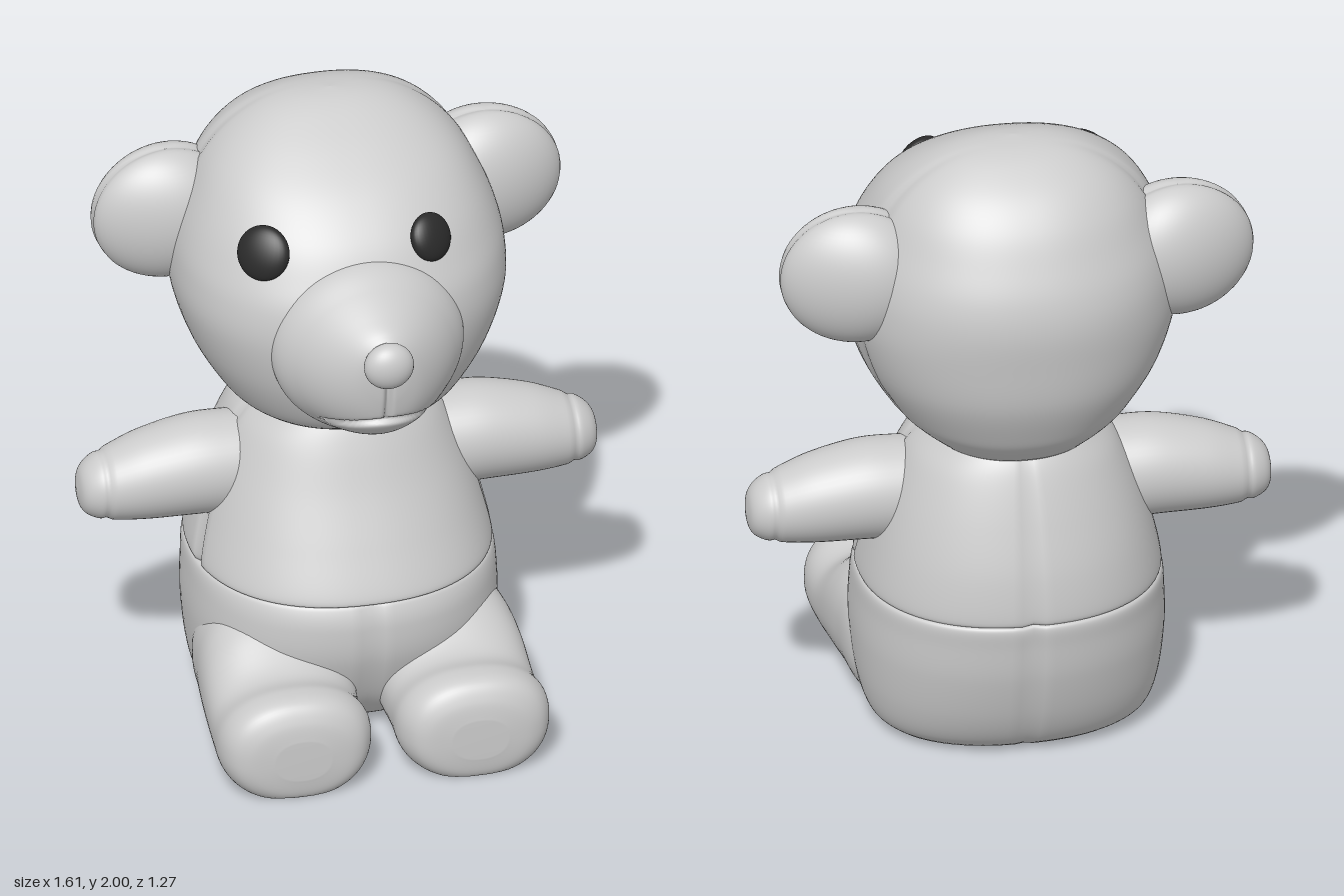
import * as THREE from 'three';

const grey = new THREE.MeshStandardMaterial({ color: 0xcccccc });
const dark = new THREE.MeshStandardMaterial({ color: 0x2a2a2a });

// Narrow stitched-seam profile: 1 on the seam, falling to 0 beside it
const crease = (d, w = 0.014) => Math.exp(-((d / w) ** 2));

// Smooth interpolation through a list of sections
function sample(sections, t) {
  const n = sections.length - 1;
  const i = Math.min(Math.floor(t * n), n - 1), f = t * n - i;
  const at = k => sections[Math.max(0, Math.min(n, k))];
  return sections[0].map((_, c) => {
    const a = at(i - 1)[c], b = at(i)[c], d = at(i + 1)[c], e = at(i + 2)[c];
    return b + 0.5 * f * (d - a + f * (2 * a - 5 * b + 4 * d - e + f * (3 * (b - d) + e - a)));
  });
}

// Closed loft along an axis (0 x, 1 y, 2 z). A section is [t, uMin, uMax, vMin, vMax],
// with u and v the next two axes in cyclic order. dent(p) pulls points to the core.
// Whatever would sink below the floor is flattened on it.
function loft(axis, sections, { power = 2, segs = 72, rows = 56, dent } = {}) {
  const u = (axis + 1) % 3, v = (axis + 2) % 3, pos = [], index = [];
  const soft = c => Math.sign(c) * Math.abs(c) ** (2 / power);
  for (let i = -1; i <= rows + 1; i++) {
    const [t, u0, u1, v0, v1] = sample(sections, Math.max(0, Math.min(1, i / rows)));
    const cap = i < 0 || i > rows;
    const ru = cap ? 0 : Math.max(0, (u1 - u0) / 2), rv = cap ? 0 : Math.max(0, (v1 - v0) / 2);
    for (let j = 0; j < segs; j++) {
      const a = (j / segs) * Math.PI * 2, p = [0, 0, 0];
      p[axis] = t;
      p[u] = (u0 + u1) / 2 + ru * soft(Math.cos(a));
      p[v] = (v0 + v1) / 2 + rv * soft(Math.sin(a));
      if (dent && !cap) {
        const k = dent(p);
        p[u] += ((u0 + u1) / 2 - p[u]) * k;
        p[v] += ((v0 + v1) / 2 - p[v]) * k;
      }
      p[1] = Math.max(0, p[1]);
      pos.push(...p);
    }
  }
  for (let i = 0; i < rows + 2; i++) for (let j = 0; j < segs; j++) {
    const a = i * segs + j, b = i * segs + (j + 1) % segs;
    index.push(a, b, b + segs, a, b + segs, a + segs);
  }
  const geo = new THREE.BufferGeometry();
  geo.setAttribute('position', new THREE.Float32BufferAttribute(pos, 3));
  geo.setIndex(index);
  geo.computeVertexNormals();
  return geo;
}

// Mirror a geometry to the other side and keep its faces outward
function mirror(geo) {
  const g = geo.clone().scale(-1, 1, 1), ix = g.index.array;
  for (let i = 0; i < ix.length; i += 3) [ix[i], ix[i + 1]] = [ix[i + 1], ix[i]];
  g.computeVertexNormals();
  return g;
}

export function createModel() {
  const group = new THREE.Group();
  const add = (name, geo, mat = grey) => {
    const m = new THREE.Mesh(geo, mat);
    m.name = name;
    group.add(m);
    return m;
  };
  const pair = (name, geo) => {
    add('left' + name, geo);
    add('right' + name, mirror(geo));
  };
  const ball = (name, p, r, mat) => {
    const m = add(name, new THREE.SphereGeometry(1, 32, 24), mat);
    m.position.set(...p);
    m.scale.set(...r);
    return m;
  };
  // Section of an upright part: height, back, front, half width
  const up = ([y, back, front, w]) => [y, back, front, -w, w];

  // Head with a seam running over it from ear to ear
  add('head', loft(1, [
    [1.0, -0.44, 0.13, 0.25], [1.06, -0.5, 0.24, 0.325], [1.12, -0.54, 0.3, 0.38],
    [1.25, -0.597, 0.355, 0.455], [1.4, -0.622, 0.38, 0.503], [1.52, -0.632, 0.37, 0.505],
    [1.62, -0.617, 0.325, 0.485], [1.72, -0.577, 0.262, 0.445], [1.82, -0.525, 0.16, 0.39],
    [1.9, -0.455, 0.04, 0.315], [1.96, -0.365, -0.075, 0.22], [1.99, -0.29, -0.15, 0.12],
    [2.0, -0.21, -0.21, 0],
  ].map(up), { power: 2.2, segs: 112, rows: 72, dent: p => 0.025 * crease(p[2] + 0.26, 0.018) }));

  // Upper body: side seams and a seam down the back
  add('upperBody', loft(1, [
    [0.5, -0.55, 0.33, 0.44], [0.512, -0.575, 0.35, 0.462], [0.65, -0.56, 0.29, 0.432],
    [0.8, -0.52, 0.22, 0.385], [0.93, -0.475, 0.165, 0.325], [1.0, -0.44, 0.13, 0.265],
    [1.04, -0.4, 0.1, 0.22],
  ].map(up), {
    power: 2.25, segs: 112,
    dent: p => 0.03 * Math.max(crease(p[2] + 0.02 + 0.2 * (p[1] - 0.5)), p[2] < 0 ? crease(p[0]) : 0),
  }));

  // Seat: seam down the front and back
  add('lowerBody', loft(1, [
    [0, -0.39, 0.15, 0.38], [0.05, -0.455, 0.22, 0.43], [0.15, -0.51, 0.3, 0.46],
    [0.3, -0.555, 0.36, 0.475], [0.42, -0.572, 0.37, 0.472], [0.488, -0.577, 0.352, 0.464],
    [0.5, -0.55, 0.33, 0.44],
  ].map(up), { power: 2.25, segs: 112, dent: p => 0.03 * crease(p[0]) }));

  // Thighs swelling out of the seat, then legs ending in blunt round-topped feet
  pair('Leg', loft(2, [
    [-0.2, 0.15, 0.38, 0.06, 0.25], [-0.05, 0.05, 0.465, -0.02, 0.4], [0.1, 0.03, 0.488, -0.03, 0.43],
    [0.22, 0.03, 0.5, -0.03, 0.395], [0.37, 0.045, 0.505, -0.03, 0.305], [0.49, 0.04, 0.512, -0.03, 0.32],
    [0.56, 0.065, 0.49, -0.02, 0.31], [0.595, 0.11, 0.44, 0.01, 0.26], [0.608, 0.19, 0.36, 0.07, 0.2],
  ], { power: 2.25 }));

  // Arms reaching out sideways, with a seam round the paw
  const arm = ([x, y, r]) => [x, y - r, y + r, -0.128 - r, -0.128 + r];
  pair('Arm', loft(0, [
    [0.2, 0.785, 0.145], [0.34, 0.783, 0.156], [0.46, 0.783, 0.154], [0.6, 0.768, 0.138],
    [0.7, 0.752, 0.115], [0.76, 0.745, 0.094], [0.795, 0.74, 0.06], [0.807, 0.74, 0],
  ].map(arm), { segs: 48, dent: p => 0.06 * crease(p[0] - 0.725, 0.01) }));

  // Ears: balls flattened towards the tip and pinched along the rim seam
  const ear = new THREE.SphereGeometry(1, 48, 36);
  const ep = ear.attributes.position, q = new THREE.Vector3();
  for (let i = 0; i < ep.count; i++) {
    q.fromBufferAttribute(ep, i);
    q.multiplyScalar(1 - 0.04 * crease(q.z, 0.1));
    ep.setXYZ(i, q.x, q.y, q.z * (1 - 0.22 * q.x));
  }
  ear.scale(0.235, 0.22, 0.15).rotateY(-0.05).translate(0.495, 1.6, -0.272);
  ear.computeVertexNormals();
  pair('Ear', ear);

  // Muzzle, creased below the nose and along the arched mouth
  const muzzle = loft(2, [
    [0.22, -0.29, 0.285, 1.125, 1.67], [0.31, -0.3, 0.292, 1.11, 1.67], [0.4, -0.25, 0.245, 1.137, 1.63],
    [0.48, -0.187, 0.185, 1.178, 1.588], [0.535, -0.125, 0.125, 1.24, 1.555],
    [0.562, -0.07, 0.07, 1.33, 1.52], [0.572, 0, 0, 1.44, 1.44],
  ], { segs: 112, rows: 96 });
  const mp = muzzle.attributes.position;
  for (let i = 0; i < mp.count; i++) {
    const x = mp.getX(i), y = mp.getY(i), z = mp.getZ(i);
    if (z < 0.36 || y > 1.42) continue;
    const mouth = Math.abs(x) < 0.17 ? crease(y - 1.255 + 1.6 * x * x, 0.012) : 0;
    mp.setZ(i, z - 0.025 * Math.max(mouth, y > 1.25 ? crease(x, 0.01) : 0));
  }
  muzzle.computeVertexNormals();
  add('muzzle', muzzle);
  ball('nose', [-0.005, 1.475, 0.582], [0.077, 0.075, 0.052], grey);

  // Eyes: dark buttons lying on the face
  const eye = (name, p, r, n) => {
    const m = ball(name, p, r, dark);
    m.lookAt(new THREE.Vector3(...p).add(new THREE.Vector3(...n)));
  };
  eye('rightEye', [-0.305, 1.695, 0.205], [0.085, 0.085, 0.035], [-0.6, 0.4, 0.75]);
  eye('leftEye', [0.205, 1.705, 0.245], [0.072, 0.075, 0.035], [0.45, 0.42, 0.8]);

  return group;
}
